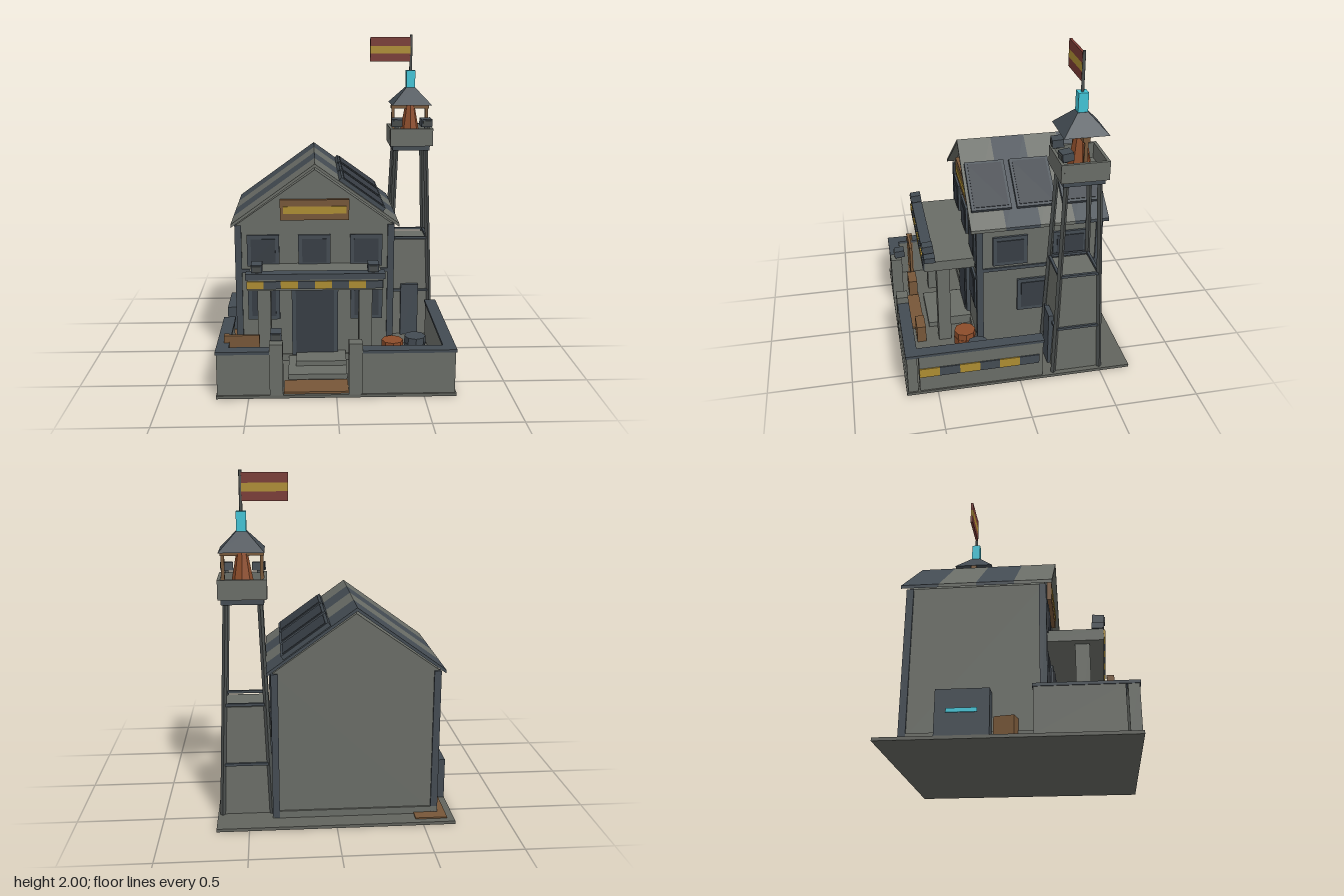
import * as THREE from 'three';

const material = (name, color) => {
  const m = new THREE.MeshStandardMaterial({ color });
  m.name = name;
  return m;
};
const concrete = material('concrete', 0x696c66);
const steel = material('blue grey steel', 0x434b52);
const glass = material('dark panel', 0x373d44);
const yellow = material('hazard yellow', 0xac8c32);
const wood = material('brown wood', 0x765638);
const rust = material('rust orange', 0x8c4c2a);
const red = material('flag red', 0x783a34);
const cyan = material('glowing cyan', 0x41c2d4);
const iron = material('leg iron', 0x4c504f);
const dirt = material('ground grey', 0x61635d);

export function createModel() {
  const root = new THREE.Group();
  root.name = 'outpost';

  const add = (name, geo, mat, x = 0, y = 0, z = 0, parent = root) => {
    const m = new THREE.Mesh(geo, mat);
    m.name = name;
    m.position.set(x, y, z);
    parent.add(m);
    return m;
  };
  // Box given by its limits on each axis
  const box = (name, mat, x0, x1, y0, y1, z0, z1, parent = root) =>
    add(name, new THREE.BoxGeometry(x1 - x0, y1 - y0, z1 - z0), mat,
      (x0 + x1) / 2, (y0 + y1) / 2, (z0 + z1) / 2, parent);
  const prism = (name, mat, pts, z0, z1) => {
    const shape = new THREE.Shape(pts.map(p => new THREE.Vector2(p[0], p[1])));
    return add(name, new THREE.ExtrudeGeometry(shape, { depth: z1 - z0, bevelEnabled: false }), mat, 0, 0, z0);
  };
  // Four-sided frustum with flat faces along the axes
  const frustum = (name, mat, topHalf, bottomHalf, y0, y1, x, z) => {
    const g = new THREE.CylinderGeometry(topHalf * Math.SQRT2, bottomHalf * Math.SQRT2, y1 - y0, 4).toNonIndexed();
    g.rotateY(Math.PI / 4);
    g.computeVertexNormals();
    return add(name, g, mat, x, (y0 + y1) / 2, z);
  };
  // Square bar between two points
  const bar = (name, mat, a, b, size) => {
    const from = new THREE.Vector3(...a), to = new THREE.Vector3(...b);
    const m = add(name, new THREE.BoxGeometry(size, size, from.distanceTo(to)), mat);
    m.position.copy(from).lerp(to, 0.5);
    m.lookAt(to);
    return m;
  };
  const lamp = (x, y, z, yaw = 0, w = 0.062) => {
    const g = new THREE.Group();
    g.name = 'floodlight';
    g.position.set(x, y, z);
    g.rotation.set(0.1, yaw, 0);
    root.add(g);
    box('lampBody', steel, -w / 2, w / 2, -0.024, 0.024, -0.035, 0.03, g);
    box('lampFace', iron, -w / 2 + 0.008, w / 2 - 0.008, -0.017, 0.017, 0.03, 0.036, g);
    box('lampFoot', iron, -0.01, 0.01, -0.04, -0.02, -0.01, 0.01, g);
  };
  const framed = (name, x, y, z, w, h, yaw = 0) => {
    const g = new THREE.Group();
    g.name = name;
    g.position.set(x, y, z);
    g.rotation.y = yaw;
    root.add(g);
    box('frame', steel, -w / 2, w / 2, -h / 2, h / 2, 0, 0.014, g);
    box('pane', glass, -w / 2 + 0.024, w / 2 - 0.024, -h / 2 + 0.024, h / 2 - 0.024, 0.012, 0.019, g);
  };

  box('ground', dirt, -0.685, 0.685, 0, 0.018, -0.685, 0.685);

  // House body with gables, corner posts and floor bands
  prism('houseBody', concrete,
    [[-0.59, 0.015], [0.355, 0.015], [0.355, 0.893], [-0.115, 1.228], [-0.59, 0.893]], -0.56, 0.195);
  box('plinth', concrete, -0.6, 0.365, 0.015, 0.06, -0.572, 0.206);
  for (const x of [-0.6, 0.325])
    for (const z of [-0.572, 0.166]) box('cornerPost', steel, x, x + 0.04, 0.015, 0.89, z, z + 0.04);
  box('frontBand', steel, -0.59, 0.355, 0.593, 0.615, 0.19, 0.204);
  box('sideBand', steel, 0.35, 0.364, 0.593, 0.615, -0.55, 0.19);

  // Striped roof sheets
  for (let i = 0; i < 4; i++) {
    const z = -0.6 + i * 0.21;
    prism('roofSheet', i % 2 ? concrete : steel,
      [[-0.62, 0.885], [-0.115, 1.25], [0.39, 0.885], [0.39, 0.905], [-0.115, 1.27], [-0.62, 0.905]], z, z + 0.21);
  }
  // Solar panels on the +x slope
  for (const z of [-0.455, -0.175, 0.1]) {
    const g = new THREE.Group();
    g.name = 'solarPanel';
    g.position.set(0.17, 1.082, z);
    g.rotation.z = -Math.atan2(0.365, 0.505);
    root.add(g);
    box('panelFrame', steel, -0.163, 0.163, -0.015, 0.01, -0.121, 0.121, g);
    box('panelCells', glass, -0.146, 0.146, 0.008, 0.015, -0.104, 0.104, g);
  }

  // Windows, door and gable sign
  for (const x of [-0.43, -0.12, 0.195]) framed('upperWindow', x, 0.732, 0.195, 0.195, 0.195);
  for (const x of [-0.43, 0.2]) framed('lowerWindow', x, 0.405, 0.195, 0.195, 0.225);
  for (const z of [0, -0.37]) framed('sideWindow', 0.355, 0.732, z, 0.212, 0.195, Math.PI / 2);
  framed('sideWindow', 0.355, 0.405, -0.148, 0.205, 0.225, Math.PI / 2);
  box('doorFrame', steel, -0.26, 0.025, 0.06, 0.54, 0.19, 0.22);
  box('door', glass, -0.235, 0, 0.07, 0.515, 0.218, 0.228);
  box('sign', wood, -0.325, 0.09, 0.925, 1.05, 0.195, 0.222);
  box('signStripe', yellow, -0.305, 0.072, 0.965, 1.01, 0.221, 0.227);

  // Porch
  box('upperStep', concrete, -0.235, 0.07, 0.015, 0.08, 0.2, 0.36);
  box('lowerStep', concrete, -0.28, 0.07, 0.015, 0.05, 0.2, 0.48);
  box('entranceMat', wood, -0.3, 0.07, 0.012, 0.03, 0.51, 0.668);
  for (const x of [-0.455, 0.14]) box('porchColumn', concrete, x, x + 0.077, 0.015, 0.585, 0.352, 0.432);
  box('canopy', concrete, -0.505, 0.273, 0.583, 0.648, 0.19, 0.51);
  box('canopyEdge', steel, -0.517, 0.285, 0.648, 0.682, 0.445, 0.513);
  for (let i = 0; i < 8; i++) {
    const x = -0.51 + i * 0.0975;
    box('canopyStripe', i % 2 ? steel : yellow, x, x + 0.0975, 0.595, 0.64, 0.51, 0.519);
  }
  lamp(-0.452, 0.717, 0.485);
  lamp(0.215, 0.717, 0.485);
  for (const x of [-0.44, 0.087]) box('porchBox', wood, x, x + 0.127, 0.015, 0.13, 0.515, 0.572);

  // Yard walls with dark caps
  const yardWall = (x0, x1, z0, z1) => {
    box('yardWall', concrete, x0 + 0.006, x1 - 0.006, 0.015, 0.267, z0 + 0.006, z1 - 0.006);
    box('wallCap', steel, x0, x1, 0.265, 0.282, z0, z1);
  };
  yardWall(-0.685, -0.31, 0.61, 0.682);
  yardWall(0.08, 0.682, 0.61, 0.682);
  yardWall(0.61, 0.682, -0.145, 0.612);
  yardWall(-0.685, -0.613, 0.13, 0.612);
  for (const x of [-0.38, 0.07]) box('gatePost', concrete, x, x + 0.076, 0.015, 0.325, 0.612, 0.684);
  lamp(-0.342, 0.362, 0.625);
  for (let i = 0; i < 6; i++) {
    const z = 0.605 - i * 0.12;
    box('wallStripe', i % 2 ? steel : yellow, 0.675, 0.683, 0.12, 0.18, z - 0.12, z);
  }

  // Things in the yard
  const barrel = (x, z, mat) => {
    const g = new THREE.CylinderGeometry(0.066, 0.066, 0.17, 8).toNonIndexed();
    g.computeVertexNormals();
    add('barrel', g, mat, x, 0.098, z);
    for (const y of [0.06, 0.135]) {
      const h = new THREE.CylinderGeometry(0.069, 0.069, 0.01, 8).toNonIndexed();
      h.computeVertexNormals();
      add('barrelHoop', h, mat, x, y, z);
    }
  };
  barrel(0.355, 0.285, rust);
  barrel(0.502, 0.225, steel);
  const crate = (x, z, s, yaw) => {
    add('crate', new THREE.BoxGeometry(s, s, s), wood, x, 0.012 + s / 2, z).rotation.y = yaw;
  };
  crate(0.527, 0.5, 0.14, 0.21);
  crate(-0.605, -0.005, 0.11, -0.2);
  box('leaningBoard', wood, -0.645, -0.44, 0.1, 0.325, 0.528, 0.546);
  box('boardPost', wood, -0.645, -0.615, 0.015, 0.325, 0.512, 0.55);
  box('groundBoard', wood, -0.645, -0.46, 0.012, 0.026, -0.645, -0.37);
  box('powerCabinet', steel, -0.683, -0.59, 0.015, 0.265, -0.37, -0.085);
  box('cabinetLight', cyan, -0.69, -0.682, 0.138, 0.16, -0.31, -0.148);

  // Watchtower
  const tx = 0.513, tz = -0.355;
  const spread = y => 0.146 - 0.05 * y / 1.28;
  const corners = [[1, 1], [1, -1], [-1, -1], [-1, 1]];
  const at = (c, y) => [tx + c[0] * spread(y), y, tz + c[1] * spread(y)];
  corners.forEach((c, i) => {
    const next = corners[(i + 1) % 4];
    bar('towerLeg', iron, at(c, 0.012), at(c, 1.29), 0.022);
    for (const y of [0.325, 0.685]) bar('towerBrace', steel, at(c, y), at(next, y), 0.016);
  });
  frustum('towerCladding', concrete, spread(0.67) - 0.004, spread(0.02) - 0.004, 0.015, 0.67, tx, tz);
  box('towerDoor', steel, 0.458, 0.573, 0.015, 0.37, -0.225, -0.195);
  box('platformBase', steel, tx - 0.12, tx + 0.12, 1.268, 1.3, tz - 0.12, tz + 0.12);
  box('platformFloor', concrete, tx - 0.132, tx + 0.132, 1.298, 1.32, tz - 0.132, tz + 0.132);
  for (const s of [-1, 1]) {
    const a = s * 0.129;
    box('parapet', concrete, tx - 0.137, tx + 0.137, 1.3, 1.412, tz + a - 0.009, tz + a + 0.009);
    box('parapet', concrete, tx + a - 0.009, tx + a + 0.009, 1.3, 1.412, tz - 0.12, tz + 0.12);
    box('roofPost', wood, tx + s * 0.11 - 0.01, tx + s * 0.11 + 0.01, 1.32, 1.54, tz - 0.01, tz + 0.01);
    lamp(tx + s * 0.093, 1.45, tz + 0.105, s * 0.12, 0.07);
  }
  box('roofBeam', wood, tx - 0.123, tx + 0.123, 1.528, 1.562, tz - 0.02, tz + 0.02);
  const core = new THREE.CylinderGeometry(0.03, 0.075, 0.24, 8).toNonIndexed();
  core.computeVertexNormals();
  add('beaconCore', core, rust, tx, 1.435, tz);
  frustum('towerRoof', steel, 0.03, 0.128, 1.56, 1.665, tx, tz);
  box('beacon', cyan, tx - 0.028, tx + 0.028, 1.66, 1.775, tz - 0.028, tz + 0.028);
  add('flagPole', new THREE.CylinderGeometry(0.009, 0.009, 0.24, 8), iron, tx, 1.88, tz);
  [[1.83, 1.883, red], [1.883, 1.93, yellow], [1.93, 1.987, red]].forEach(([y0, y1, mat]) =>
    box('flagStripe', mat, 0.25, 0.508, y0, y1, tz - 0.008, tz + 0.008));

  return root;
}
